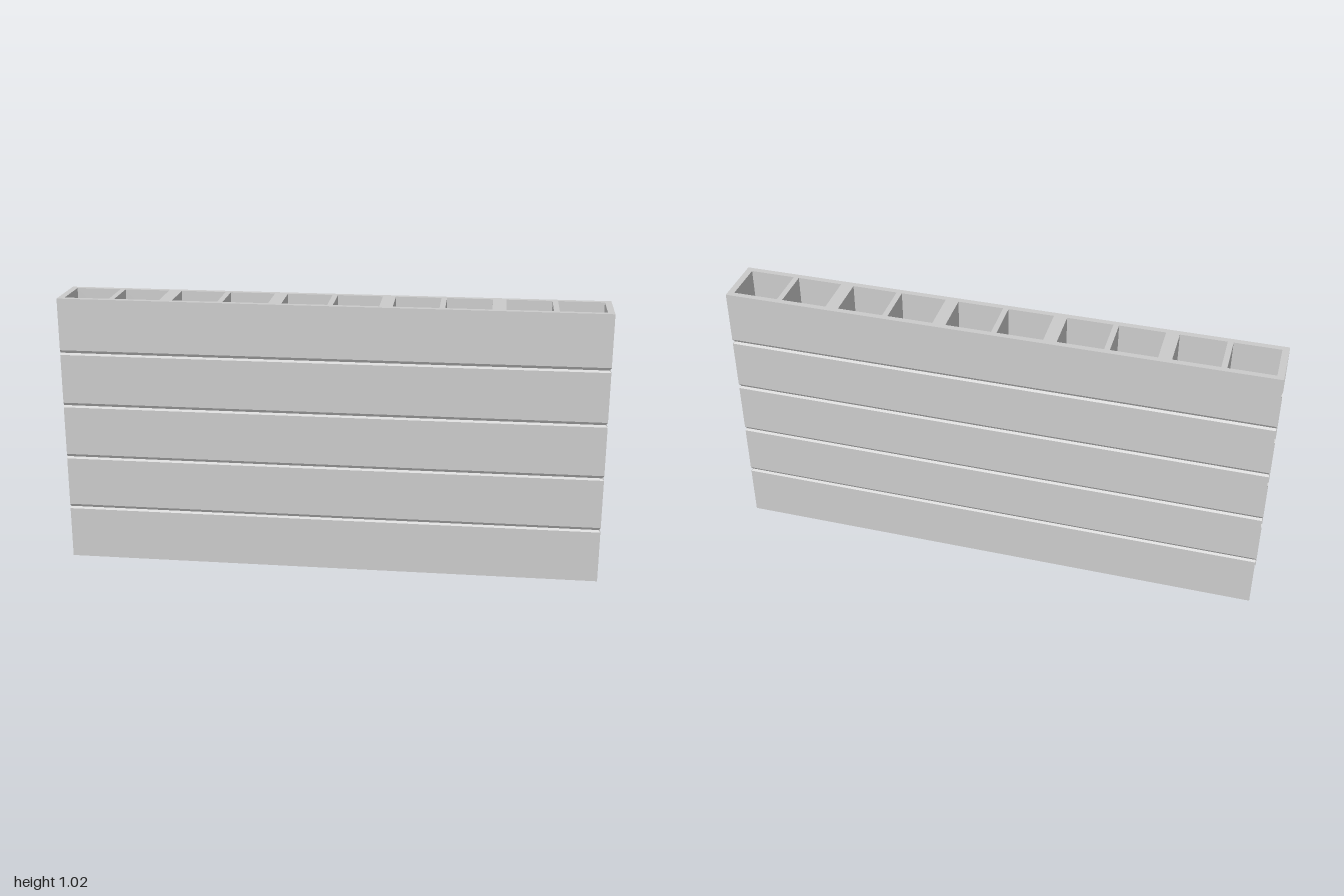
import * as THREE from 'three';

const HEIGHT = 1.016, HALF_X = 1, HALF_Z = 0.1;
const COURSE = 0.2027, COURSES = 5, GROOVE = 0.007;
const CELL_W = 0.166, CELL_D = 0.158, CELL_H = 0.193, CELL_OFFSET = 0.093;

// Side profile as [inset, y]: flat courses parted by V-shaped grooves
function wallProfile() {
  const profile = [[0, 0]];
  for (let i = 1; i < COURSES; i++) {
    const y = i * COURSE;
    profile.push([0, y - 0.007], [GROOVE, y], [0, y + 0.011]);
  }
  profile.push([0, HEIGHT]);
  return profile;
}

// Sweep the profile along front, right end and back; the left end stays open
function wallGeometry() {
  const ring = ([inset, y]) => {
    const x = HALF_X - inset, z = HALF_Z - inset;
    return [[-HALF_X, y, z], [x, y, z], [x, y, -z], [-HALF_X, y, -z]];
  };
  const rings = wallProfile().map(ring);
  const positions = [];
  for (let i = 0; i < rings.length - 1; i++) {
    for (let j = 0; j < 3; j++) {
      const a = rings[i][j], b = rings[i][j + 1];
      const c = rings[i + 1][j + 1], d = rings[i + 1][j];
      positions.push(...a, ...b, ...c, ...a, ...c, ...d);
    }
  }
  const geometry = new THREE.BufferGeometry();
  geometry.setAttribute('position', new THREE.Float32BufferAttribute(positions, 3));
  geometry.computeVertexNormals();
  return geometry;
}

function rectangle(target, cx, w, d) {
  target.moveTo(cx - w / 2, -d / 2);
  target.lineTo(cx + w / 2, -d / 2);
  target.lineTo(cx + w / 2, d / 2);
  target.lineTo(cx - w / 2, d / 2);
  target.closePath();
  return target;
}

// Open-topped pocket: a box without its upper face
function pocketGeometry() {
  const geometry = new THREE.BoxGeometry(CELL_W, CELL_H, CELL_D);
  const index = Array.from(geometry.index.array);
  index.splice(12, 6);
  geometry.setIndex(index);
  geometry.clearGroups();
  return geometry;
}

export function createModel() {
  const group = new THREE.Group();
  group.name = 'blockWall';
  const material = new THREE.MeshStandardMaterial({ color: 0xcccccc, side: THREE.DoubleSide });
  const add = (name, geometry) => {
    const mesh = new THREE.Mesh(geometry, material);
    mesh.name = name;
    group.add(mesh);
    return mesh;
  };

  add('groovedWalls', wallGeometry());

  // Two cells per block, five blocks per course
  const centres = [];
  for (let block = -2; block <= 2; block++) {
    for (const side of [-1, 1]) centres.push(block * 0.4 + side * CELL_OFFSET);
  }

  // Top face pierced by the cells
  const top = rectangle(new THREE.Shape(), 0, 2 * HALF_X, 2 * HALF_Z);
  for (const x of centres) top.holes.push(rectangle(new THREE.Path(), x, CELL_W, CELL_D));
  const topGeometry = new THREE.ShapeGeometry(top);
  topGeometry.rotateX(-Math.PI / 2);
  add('topFace', topGeometry).position.y = HEIGHT;

  // Hollow cells hanging below the top face
  const pocket = pocketGeometry();
  centres.forEach((x, i) => {
    add(`hollowCell${i + 1}`, pocket).position.set(x, HEIGHT - CELL_H / 2, 0);
  });

  return group;
}
